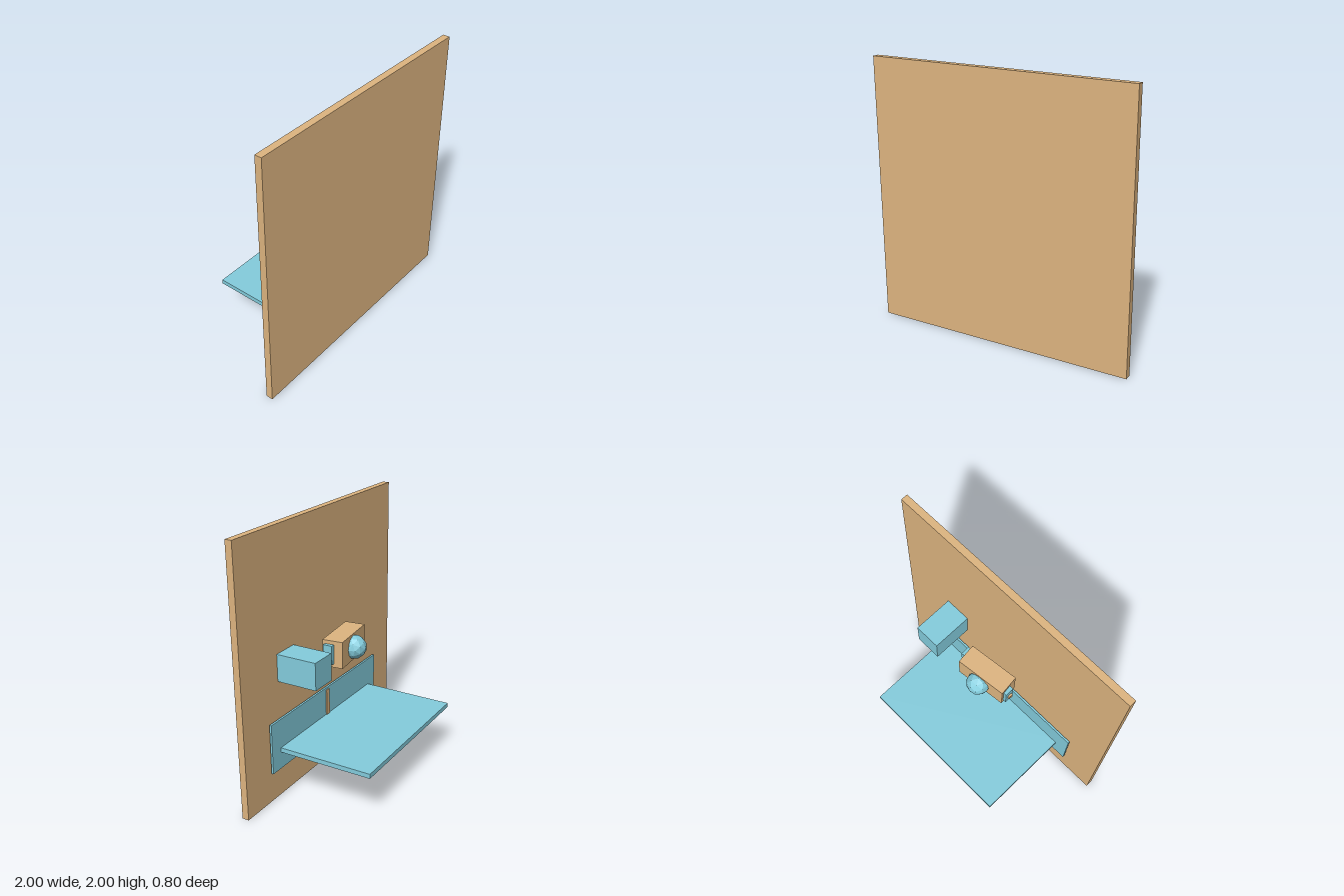
import * as THREE from 'three';

const tan = new THREE.MeshStandardMaterial({ color: 0xdeb580, flatShading: true });
const blue = new THREE.MeshStandardMaterial({ color: 0x84cddd, flatShading: true });

// Box given by its [min, max] range on each axis
function slab(name, material, [x0, x1], [y0, y1], [z0, z1]) {
  const mesh = new THREE.Mesh(new THREE.BoxGeometry(x1 - x0, y1 - y0, z1 - z0), material);
  mesh.position.set((x0 + x1) / 2, (y0 + y1) / 2, (z0 + z1) / 2);
  mesh.name = name;
  return mesh;
}

export function createModel() {
  const model = new THREE.Group();
  model.name = 'doorPanel';

  // Upright panel with a shelf, kick plate and side box on its back
  model.add(
    slab('panel', tan, [-1, 1], [0, 2], [0.35, 0.402]),
    slab('shelf', blue, [-0.622, 0.622], [0.363, 0.398], [-0.402, 0.352]),
    slab('backPlate', blue, [-0.724, 0.724], [0.234, 0.62], [0.324, 0.34]),
    slab('plateStrip', tan, [-0.02, 0.02], [0.24, 0.603], [0.316, 0.332]),
    slab('sideBox', blue, [0.387, 0.59], [0.898, 1.102], [0.037, 0.352])
  );

  // Tilted lock body with a faceted knob
  const body = slab('lockBody', tan, [-0.198, 0.198], [0.9, 1.103], [0.092, 0.248]);
  body.rotation.y = 0.115;
  model.add(body);

  const knob = new THREE.Mesh(new THREE.IcosahedronGeometry(0.09, 1), blue);
  knob.name = 'knob';
  knob.position.set(0, 1.003, 0.08);
  model.add(knob);

  // End tabs and pins on both sides of the lock body
  for (const [side, s] of [['left', 1], ['right', -1]]) {
    const tab = slab(side + 'Tab', blue, [0.15, 0.228], [0.93, 1.075], [0.135, 0.206]);
    const pin = slab(side + 'Pin', tan, [0.2, 0.243], [0.983, 1.02], [0.155, 0.19]);
    tab.position.x *= s;
    pin.position.x *= s;
    model.add(tab, pin);
  }
  return model;
}
